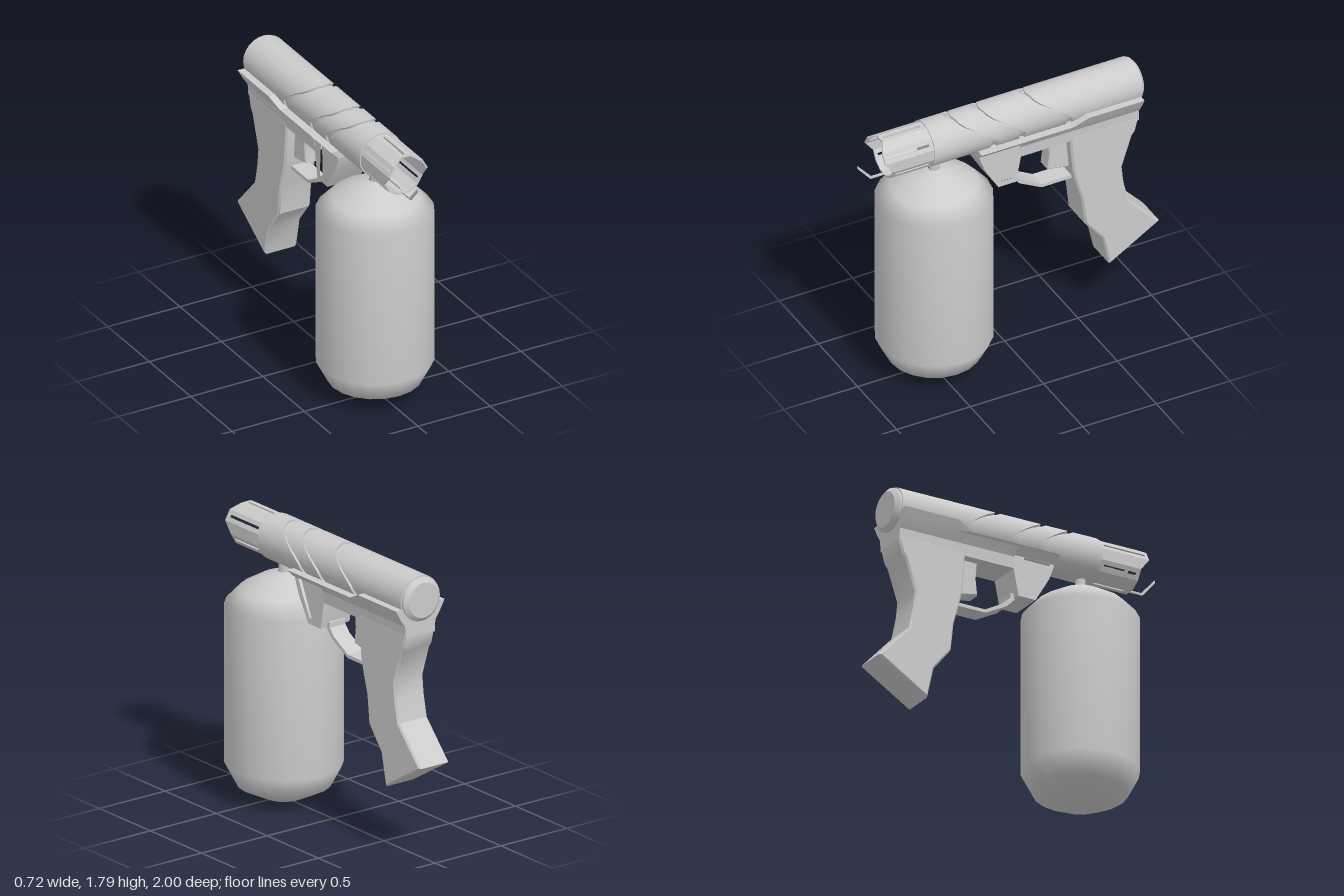
import * as THREE from 'three';
import { toCreasedNormals } from 'three/addons/utils/BufferGeometryUtils.js';

const BARREL_Y = 1.652, R = 0.146, SIDES = 24;
const rad = THREE.MathUtils.degToRad;
const material = new THREE.MeshStandardMaterial({ color: 0xcccccc });

// Piecewise linear lookup through [x, value] pairs
function lerpTable(table, x) {
  for (let i = 1; i < table.length; i++) {
    const [x0, v0] = table[i - 1], [x1, v1] = table[i];
    if (x <= x1) return v0 + (v1 - v0) * (x - x0) / (x1 - x0);
  }
  return table[table.length - 1][1];
}

// Angle in degrees from the top of the barrel, 0 to 180 on either side
const fromTop = (a) => Math.abs(((a + 540) % 360) - 180);

// Skin over closed rings that run from front (+z) to back
function loft(rings, crease = 0.6) {
  const n = rings[0].length, pos = [], index = [];
  rings.forEach((ring) => ring.forEach((p) => pos.push(...p)));
  for (let i = 0; i < rings.length - 1; i++) {
    for (let j = 0; j < n; j++) {
      const a = i * n + j, b = i * n + (j + 1) % n, c = a + n, d = b + n;
      index.push(a, b, c, b, d, c);
    }
  }
  const g = new THREE.BufferGeometry();
  g.setAttribute('position', new THREE.Float32BufferAttribute(pos, 3));
  g.setIndex(index);
  return toCreasedNormals(g, crease);
}

// Side outline of [z, y] points, extruded across x and centred
function sidePlate(points, half, bevel = 0, hole = null) {
  const toVec = (list) => list.map(([z, y]) => new THREE.Vector2(z, y));
  const shape = new THREE.Shape(toVec(points));
  if (hole) shape.holes.push(new THREE.Path(toVec(hole)));
  const depth = 2 * (half - bevel);
  const g = new THREE.ExtrudeGeometry(shape, {
    depth, bevelEnabled: bevel > 0, bevelThickness: bevel,
    bevelSize: bevel, bevelOffset: -bevel, bevelSegments: 1,
  });
  g.translate(0, 0, -depth / 2).rotateY(-Math.PI / 2);
  return toCreasedNormals(g, 0.5);
}

export function createModel() {
  const model = new THREE.Group();
  const add = (name, geometry, parent = model) => {
    const mesh = new THREE.Mesh(geometry, material);
    mesh.name = name;
    parent.add(mesh);
    return mesh;
  };
  const group = (name) => {
    const g = new THREE.Group();
    g.name = name;
    model.add(g);
    return g;
  };

  // Tank with rounded shoulders and a short neck
  const tankProfile = [
    [0, 0.005], [0.13, 0.02], [0.29, 0.1], [0.36, 0.235], [0.36, 1.25],
    [0.27, 1.345], [0.14, 1.42], [0.035, 1.45],
  ].map(([r, y]) => new THREE.Vector2(r, y));
  add('tank', new THREE.LatheGeometry(tankProfile, 20)).position.z = 0.48;
  add('tankNeck', new THREE.CylinderGeometry(0.033, 0.033, 0.1, 12)).position.set(0, 1.485, 0.48);

  // Barrel sleeves separated by chevron grooves, over a thinner core
  const chevron = [[0, 0], [30, -0.025], [45, -0.055], [90, -0.215], [108, -0.255], [180, -0.255]];
  const ring = (r, z, bent) => Array.from({ length: SIDES }, (_, j) => {
    const a = j * 360 / SIDES;
    return [r * Math.sin(rad(a)), BARREL_Y + r * Math.cos(rad(a)),
      z + (bent ? lerpTable(chevron, fromTop(a)) : 0)];
  });
  const barrel = group('barrel');
  const grooves = [0.41, 0.22, -0.1], grooveWidth = 0.038;
  for (let i = 0; i <= grooves.length; i++) {
    const first = i === 0, last = i === grooves.length;
    const front = first ? 0.55 : grooves[i - 1] - grooveWidth;
    const back = last ? -0.85 : grooves[i];
    add('barrelSleeve', loft([
      ring(first ? 0 : 0.125, front, !first), ring(R, front, !first),
      ring(R, back, !last), ring(last ? 0 : 0.125, back, !last),
    ]), barrel);
  }
  add('barrelCore', loft([ring(0.131, 0.5), ring(0.131, -0.84)]), barrel);
  add('rearCap', loft([
    ring(0.139, -0.85), ring(0.139, -0.868), ring(0.112, -0.89), ring(0, -0.89),
  ], 0.4), barrel);

  // Hollow twelve-sided muzzle, every second facet slotted, with a stepped rim
  const muzzle = group('muzzle');
  const rim = [[0, 0.845], [15, 0.85], [45, 0.882], [75, 0.882], [105, 0.825], [165, 0.825], [180, 0.835]];
  const apothem = 0.136, w = apothem * Math.tan(rad(15));
  for (let i = 0; i < 12; i++) {
    const a = i * 30;
    const left = lerpTable(rim, fromTop(a - 15)), right = lerpTable(rim, fromTop(a + 15));
    const facet = new THREE.Shape([[-w, 0.54], [w, 0.54], [w, right], [-w, left]]
      .map((p) => new THREE.Vector2(...p)));
    if (i % 2 === 0) {
      const end = Math.min(left, right) - 0.02;
      facet.holes.push(new THREE.Path([[-0.008, 0.575], [-0.008, end], [0.008, end], [0.008, 0.575]]
        .map((p) => new THREE.Vector2(...p))));
    }
    const g = new THREE.ExtrudeGeometry(facet, { depth: 0.012, bevelEnabled: false });
    g.rotateX(Math.PI / 2).translate(0, apothem, 0).rotateZ(-rad(a)).translate(0, BARREL_Y, 0);
    add('muzzleFacet', g, muzzle);
  }
  add('frontHook', sidePlate([
    [0.78, 1.516], [0.915, 1.516], [1, 1.615], [1, 1.635], [0.905, 1.528], [0.78, 1.528],
  ], 0.006), muzzle);

  // Flared cradle under the barrel, wider and taller at the back
  const cradleRing = ([z, topX, topY, bottom]) => {
    const right = [[topX, topY], [0.152, 1.55], [0.115, 1.495], [0.11, 1.42]]
      .map(([x, y]) => [x, Math.max(y, bottom), z]);
    return [...right, ...right.map(([x, y]) => [-x, y, z]).reverse()];
  };
  const cradle = [
    [0.24, 0.165, 1.56, 1.51], [-0.05, 0.165, 1.56, 1.51], [-0.05, 0.165, 1.56, 1.42],
    [-0.38, 0.165, 1.56, 1.42], [-0.48, 0.185, 1.61, 1.42], [-0.855, 0.185, 1.61, 1.42],
  ].map(cradleRing);
  const cap = (z) => cradle[0].map(() => [0, 1.53, z]);
  add('cradle', loft([cap(0.24), ...cradle, cap(-0.855)], 0.3));

  // Foregrip with a recessed panel on each side
  add('foregripRim', sidePlate([
    [0.24, 1.55], [0.23, 1.5], [0.195, 1.406], [0.1, 1.246], [-0.02, 1.246], [-0.055, 1.43], [-0.055, 1.55],
  ], 0.11, 0, [[0.2, 1.508], [0.09, 1.283], [0.008, 1.283], [0.02, 1.508]]));
  add('foregripCore', sidePlate([[0.22, 1.52], [0.1, 1.26], [-0.01, 1.26], [-0.02, 1.52]], 0.08));

  // Trigger and its guard
  add('trigger', sidePlate([
    [-0.27, 1.43], [-0.28, 1.32], [-0.268, 1.212], [-0.42, 1.183], [-0.42, 1.43],
  ], 0.05, 0.008));
  add('triggerGuard', sidePlate([
    [-0.01, 1.248], [-0.07, 1.185], [-0.22, 1.105], [-0.45, 1.105], [-0.45, 1.127],
    [-0.222, 1.127], [-0.085, 1.203], [-0.045, 1.248], [-0.045, 1.28], [-0.01, 1.28],
  ], 0.06));

  // Raked pistol grip
  add('grip', sidePlate([
    [-0.39, 1.45], [-0.39, 1.42], [-0.41, 1.187], [-0.43, 1.096], [-0.47, 0.957], [-0.49, 0.775],
    [-0.61, 0.626], [-0.657, 0.42], [-0.997, 0.626], [-0.785, 0.856], [-0.755, 0.995],
    [-0.743, 1.107], [-0.812, 1.316], [-0.833, 1.342], [-0.853, 1.42], [-0.853, 1.45],
  ], 0.112, 0.012));

  return model;
}
